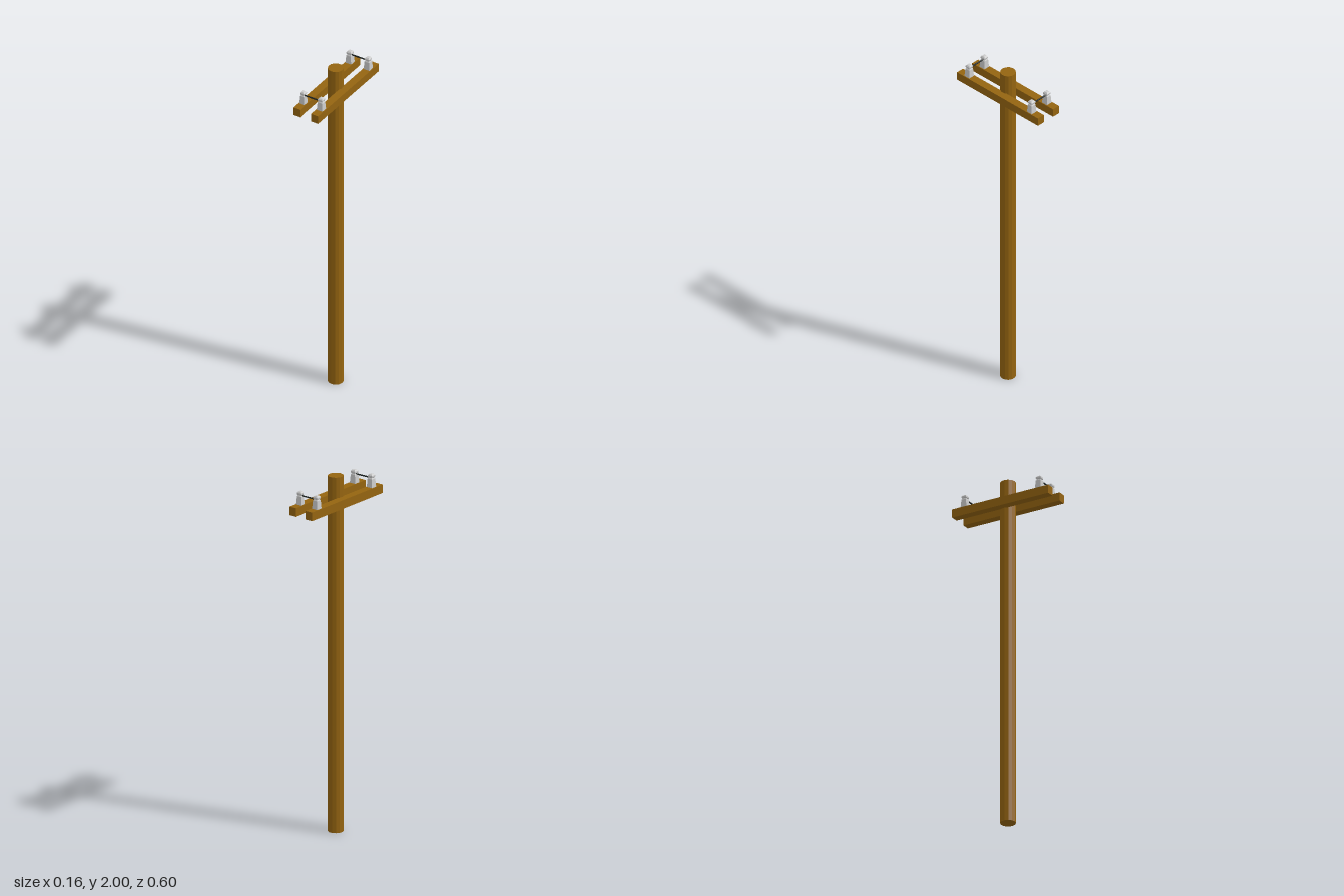
import * as THREE from 'three';

const material = (color) => new THREE.MeshStandardMaterial({ color, flatShading: true });

export function createModel() {
  const model = new THREE.Group();
  model.name = 'utilityPole';
  const wood = material(0x946410);
  const grey = material(0xcccccc);
  const dark = material(0x1c2220);

  const add = (name, geometry, mat, x, y, z) => {
    const mesh = new THREE.Mesh(geometry, mat);
    mesh.name = name;
    mesh.position.set(x, y, z);
    model.add(mesh);
    return mesh;
  };

  // Thirteen-sided pole
  add('pole', new THREE.CylinderGeometry(0.0425, 0.0425, 2, 13), wood, 0, 1, 0);

  // Square insulator: half width and height, turned into a four-sided solid
  const profile = [
    [0, 0], [0.0178, 0], [0.0174, 0.008], [0.0145, 0.047], [0.011, 0.053],
    [0.0145, 0.058], [0.0145, 0.066], [0.009, 0.073], [0, 0.074],
  ].map(([w, y]) => new THREE.Vector2(w * Math.SQRT2, y));
  const insulator = new THREE.LatheGeometry(profile, 4, Math.PI / 4);
  const arm = new THREE.BoxGeometry(0.045, 0.048, 0.6);
  const wire = new THREE.CylinderGeometry(0.004, 0.004, 0.1, 8);

  // Paired crossarms with an insulator near each end
  for (const [side, x] of [['left', 0.0575], ['right', -0.0575]]) {
    add(side + 'Crossarm', arm, wood, x, 1.862, 0);
    for (const [end, z] of [['Front', 0.232], ['Back', -0.232]]) {
      add(side + end + 'Insulator', insulator, grey, x, 1.886, z);
    }
  }

  // Short wires joining the insulators across the arms
  for (const [end, z] of [['front', 0.232], ['back', -0.232]]) {
    add(end + 'Wire', wire, dark, 0, 1.937, z).rotation.z = Math.PI / 2;
  }
  return model;
}
